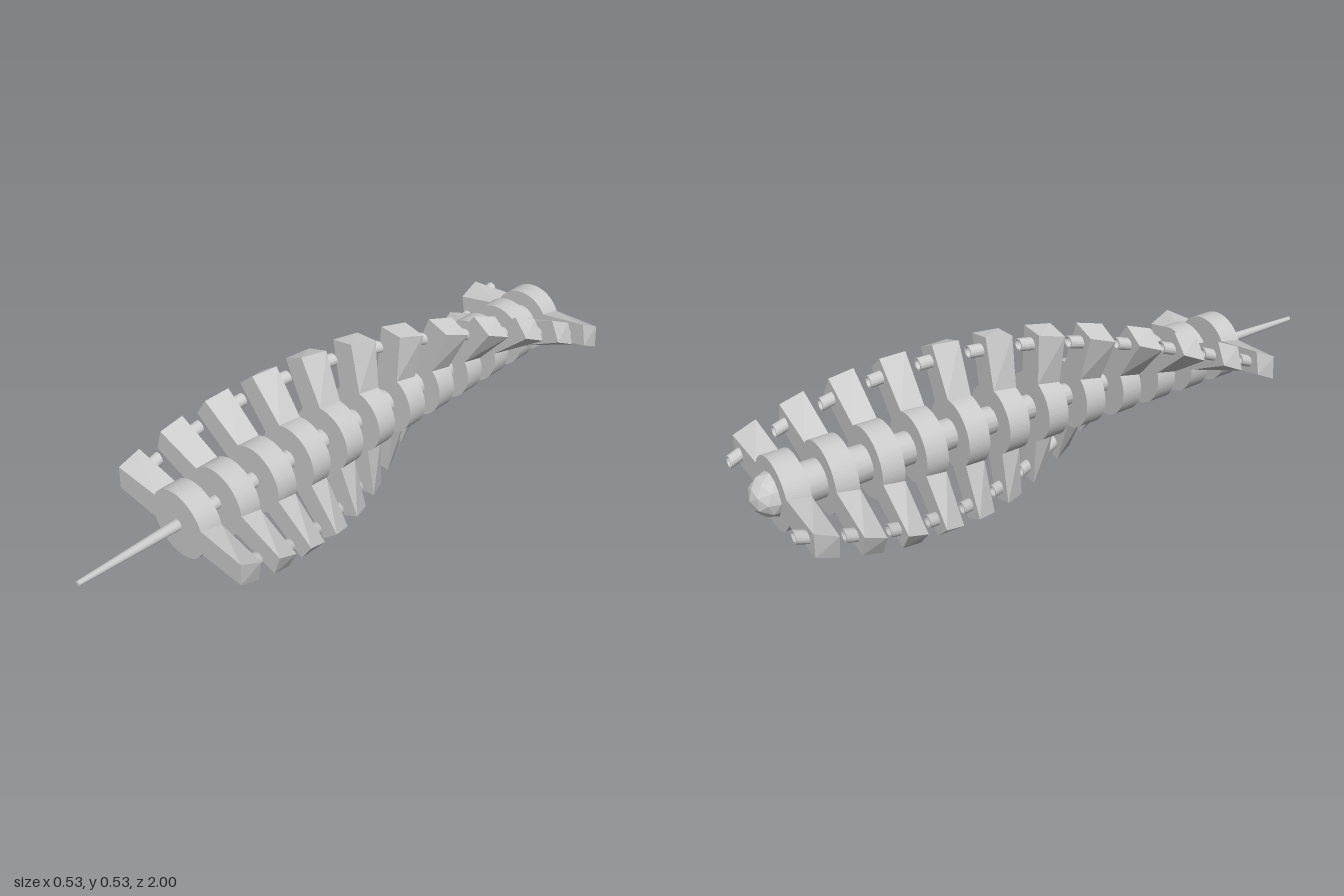
import * as THREE from 'three';

const COUNT = 12;              // twisted blade plates
const DEPTH = 1.602 / 23;      // plate thickness, equal to the gap between plates
const FRONT = 0.667;           // z of the first plate's front face
const AXIS_Y = 0.268;
const TWIST = THREE.MathUtils.degToRad(7.5); // turn per plate thickness

// Turn every vertex about z in step with its depth (no turn at z = 0)
function twist(geometry) {
  const p = geometry.attributes.position;
  for (let i = 0; i < p.count; i++) {
    const a = p.getZ(i) / DEPTH * TWIST;
    const x = p.getX(i), y = p.getY(i);
    p.setXY(i, x * Math.cos(a) - y * Math.sin(a), x * Math.sin(a) + y * Math.cos(a));
  }
  geometry.computeVertexNormals();
  return geometry;
}

// Round hub with two slightly tapered arms
function plateShape() {
  const r = 0.109, reach = 0.265, tip = 0.0385, root = 0.0425;
  const a = Math.asin(root / r);
  const s = new THREE.Shape();
  for (const side of [0, Math.PI]) {
    const dir = side ? -1 : 1;
    if (side) s.lineTo(-r * Math.cos(a), root);
    else s.moveTo(r * Math.cos(a), -root);
    s.lineTo(dir * reach, -dir * tip);
    s.lineTo(dir * reach, dir * tip);
    s.lineTo(dir * r * Math.cos(a), dir * root);
    s.absarc(0, 0, r, side + a, side + Math.PI - a, false);
  }
  return s;
}

// Hollow peg section, placed out on one arm
function pegShape(x) {
  const s = new THREE.Shape().absarc(x, 0, 0.02, 0, Math.PI * 2, false);
  s.holes.push(new THREE.Path().absarc(x, 0, 0.015, 0, Math.PI * 2, true));
  return s;
}

export function createModel() {
  const model = new THREE.Group();
  const flat = new THREE.MeshStandardMaterial({ color: 0xcccccc, flatShading: true });
  const smooth = new THREE.MeshStandardMaterial({ color: 0xcccccc });

  const add = (parent, name, geometry, material) => {
    const mesh = new THREE.Mesh(geometry, material);
    mesh.name = name;
    parent.add(mesh);
    return mesh;
  };

  // Plate and peg geometry shared by all stages, front face at z = 0
  const plate = twist(new THREE.ExtrudeGeometry(plateShape(),
    { depth: DEPTH, bevelEnabled: false, curveSegments: 18 }).translate(0, 0, -DEPTH));
  const pegLength = 0.036;
  const pegs = [0.22, -0.22].map(x => twist(new THREE.ExtrudeGeometry(pegShape(x),
    { depth: pegLength, bevelEnabled: false, curveSegments: 8 })
    .translate(0, 0, -DEPTH - pegLength)));

  // Stages step round the axis as a helix
  for (let i = 0; i < COUNT; i++) {
    const stage = new THREE.Group();
    stage.name = 'rotorStage' + (i + 1);
    add(stage, 'bladePlate', plate, flat);
    add(stage, 'leftPeg', pegs[0], smooth);
    add(stage, 'rightPeg', pegs[1], smooth);
    stage.position.set(0, AXIS_Y, FRONT - i * 2 * DEPTH);
    stage.rotation.z = -TWIST / 2 - i * 2 * TWIST;
    model.add(stage);
  }

  // Tapered shaft, thin at the front
  const back = -0.935;
  const shaft = add(model, 'shaft',
    new THREE.CylinderGeometry(0.008, 0.062, 1 - back, 16).rotateX(Math.PI / 2), smooth);
  shaft.position.set(0, AXIS_Y, (1 + back) / 2);

  // Faceted knob closing the back end
  const knob = add(model, 'endKnob', new THREE.IcosahedronGeometry(0.065, 1), flat);
  knob.position.set(0, AXIS_Y, back);

  return model;
}
